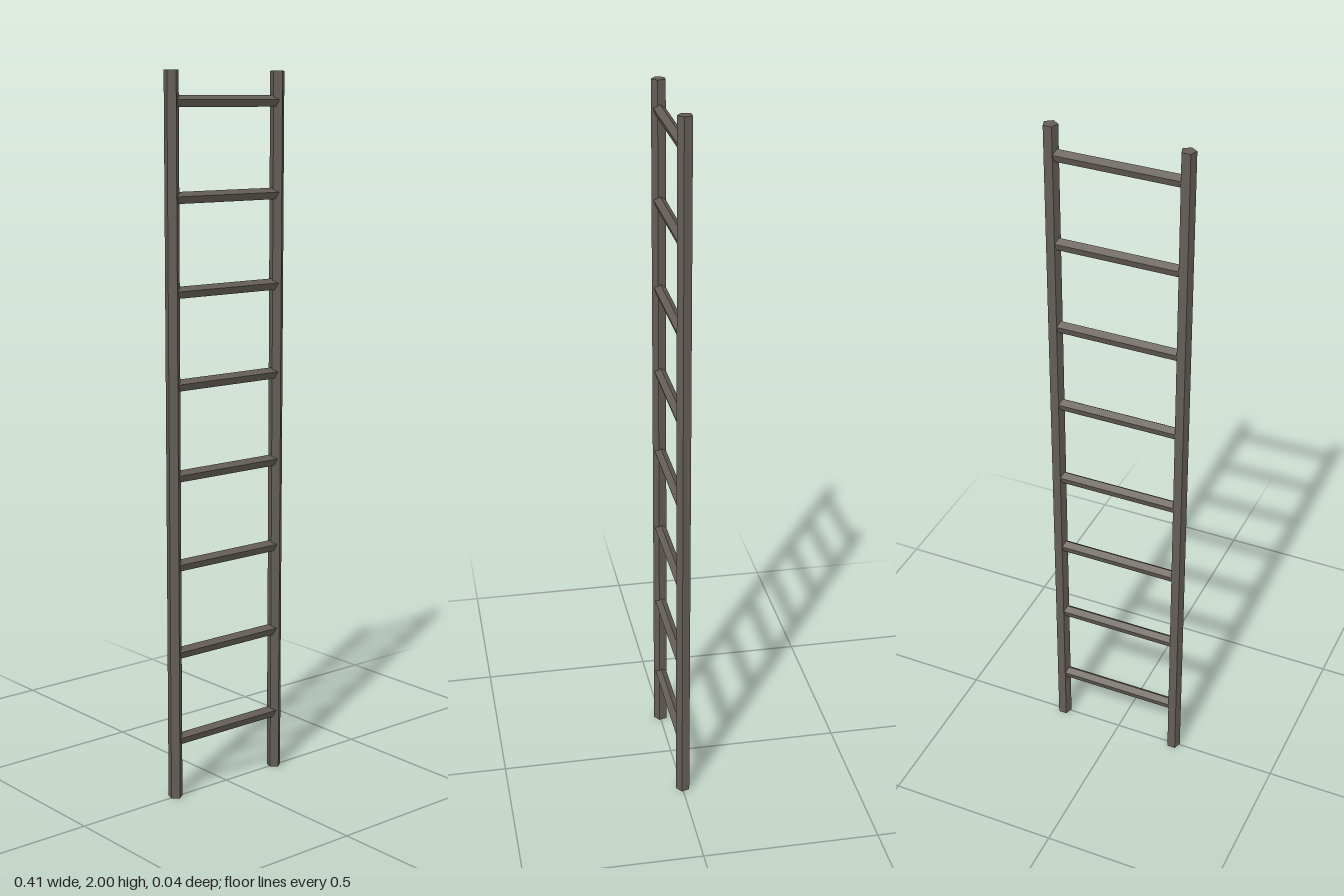
import * as THREE from 'three';

export function createModel() {
  const ladder = new THREE.Group();
  ladder.name = 'ladder';
  const wood = new THREE.MeshStandardMaterial({ color: 0x655e57, flatShading: true });
  wood.name = 'weathered wood';

  const railX = 0.184, railRadius = 0.0205, rungRadius = 0.0171, axisZ = -0.002;

  // Two upright five-sided rails, one corner facing forward
  const railGeometry = new THREE.CylinderGeometry(railRadius, railRadius, 2, 5);
  for (const side of [-1, 1]) {
    const rail = new THREE.Mesh(railGeometry, wood);
    rail.name = side > 0 ? 'leftRail' : 'rightRail';
    rail.position.set(side * railX, 1, axisZ);
    ladder.add(rail);
  }

  // Eight five-sided rungs, one corner facing up, ends sunk into the rails
  const rungGeometry = new THREE.CylinderGeometry(rungRadius, rungRadius, railX * 2, 5)
    .rotateX(-Math.PI / 2)
    .rotateY(Math.PI / 2);
  for (let i = 0; i < 8; i++) {
    const rung = new THREE.Mesh(rungGeometry, wood);
    rung.name = `rung${i + 1}`;
    rung.position.set(0, 0.168 + i * 0.25, axisZ);
    ladder.add(rung);
  }
  return ladder;
}
